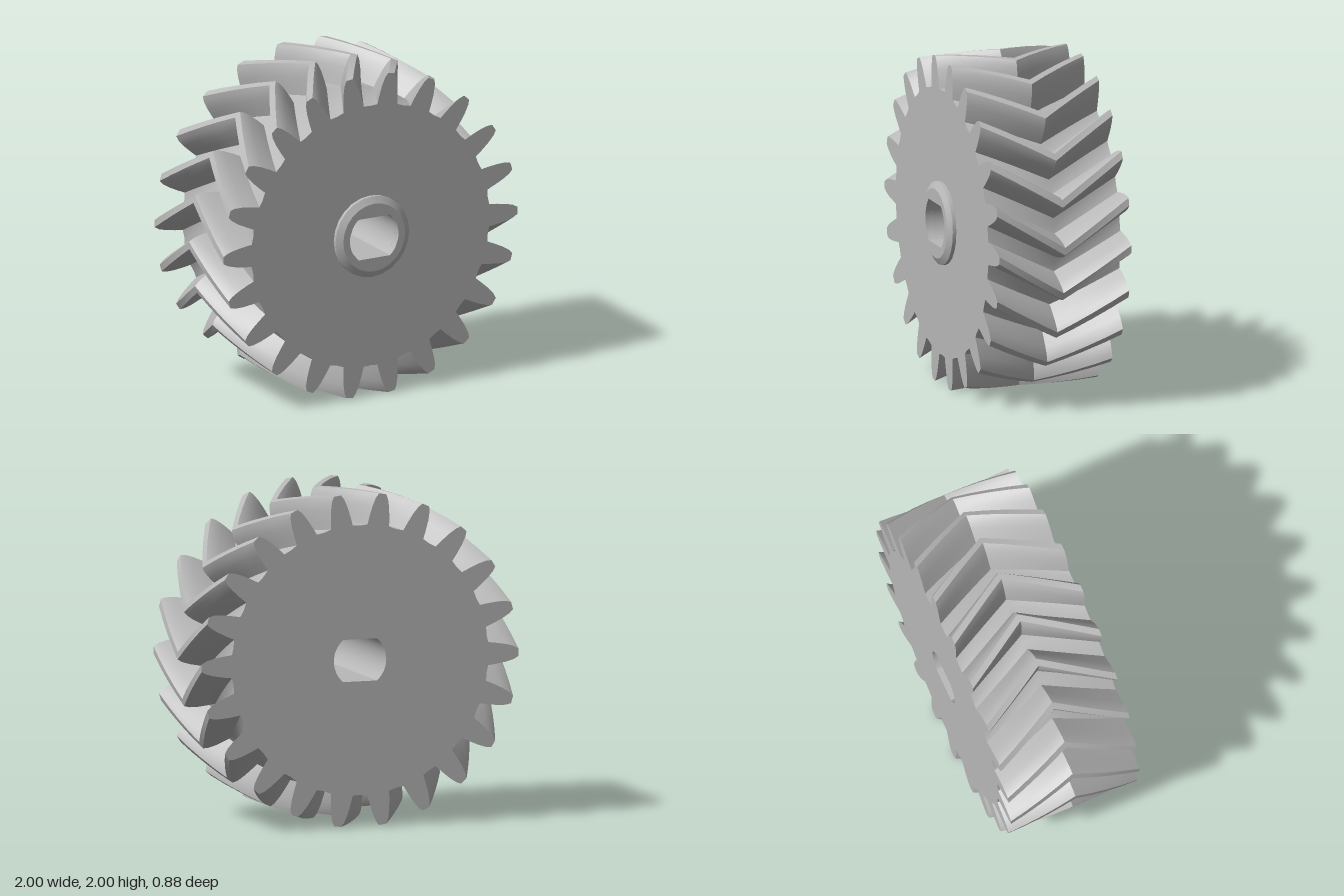
import * as THREE from 'three';
import { toCreasedNormals } from 'three/addons/utils/BufferGeometryUtils.js';

const TEETH = 22;
const BACK = -0.44, FRONT = 0.39, BOSS_FRONT = 0.435;
const TWIST = 0.265; // turn of the teeth at the middle of the gear, in radians

// Half of one tooth, from root to tip: [radius, half angle in degrees]
const FLANK = [[0.81, 4.9], [0.86, 4.2], [0.92, 3.3], [0.97, 2.3], [0.998, 1.3]];

// Round shaft hole with two flats
function shaftHole() {
  const r = 0.165, a = Math.asin(0.126 / r);
  const path = new THREE.Path();
  path.absarc(0, 0, r, -a, a, false);
  path.absarc(0, 0, r, Math.PI - a, Math.PI + a, false);
  path.closePath();
  return path;
}

function gearOutline() {
  const points = [];
  const pitch = (Math.PI * 2) / TEETH;
  const add = (r, t) => points.push(new THREE.Vector2(r * Math.cos(t), r * Math.sin(t)));
  for (let i = 0; i < TEETH; i++) {
    const mid = i * pitch;
    FLANK.forEach(([r, d]) => add(r, mid - THREE.MathUtils.degToRad(d)));
    [...FLANK].reverse().forEach(([r, d]) => add(r, mid + THREE.MathUtils.degToRad(d)));
    add(0.805, mid + pitch / 2); // valley floor
  }
  return new THREE.Shape(points);
}

// Extrude a shape, then move each vertex by a rule
function extrude(shape, depth, steps, curveSegments, z, rule) {
  shape.holes.push(shaftHole());
  const geometry = new THREE.ExtrudeGeometry(shape, { depth, steps, curveSegments, bevelEnabled: false });
  geometry.translate(0, 0, z);
  const pos = geometry.attributes.position;
  const v = new THREE.Vector3();
  for (let i = 0; i < pos.count; i++) {
    v.fromBufferAttribute(pos, i);
    rule(v);
    pos.setXYZ(i, v.x, v.y, v.z);
  }
  return toCreasedNormals(geometry, 0.4);
}

export function createModel() {
  const grey = new THREE.MeshStandardMaterial({ color: 0xb8b8b8 });
  grey.name = 'grey plastic';
  const group = new THREE.Group();
  group.name = 'herringboneGear';

  // Toothed body: the rim turns towards the middle and back again
  const axis = new THREE.Vector3(0, 0, 1);
  const middle = (FRONT + BACK) / 2, half = (FRONT - BACK) / 2;
  const bodyGeometry = extrude(gearOutline(), FRONT - BACK, 8, 8, BACK, (v) => {
    if (Math.hypot(v.x, v.y) < 0.5) return; // the shaft hole stays straight
    v.applyAxisAngle(axis, -TWIST * (1 - Math.abs(v.z - middle) / half));
  });
  const body = new THREE.Mesh(bodyGeometry, grey);
  body.name = 'toothedBody';

  // Raised collar around the hole, with a chamfered front edge
  const circle = new THREE.Shape().absarc(0, 0, 0.25, 0, Math.PI * 2, false);
  const collarGeometry = extrude(circle, BOSS_FRONT - FRONT, 2, 12, FRONT, (v) => {
    if (v.z > BOSS_FRONT - 0.005 && Math.hypot(v.x, v.y) > 0.2) {
      v.x *= 0.84;
      v.y *= 0.84;
    }
  });
  const collar = new THREE.Mesh(collarGeometry, grey);
  collar.name = 'collar';

  group.add(body, collar);
  group.children.forEach((mesh) => { mesh.position.y = 1; });
  return group;
}
